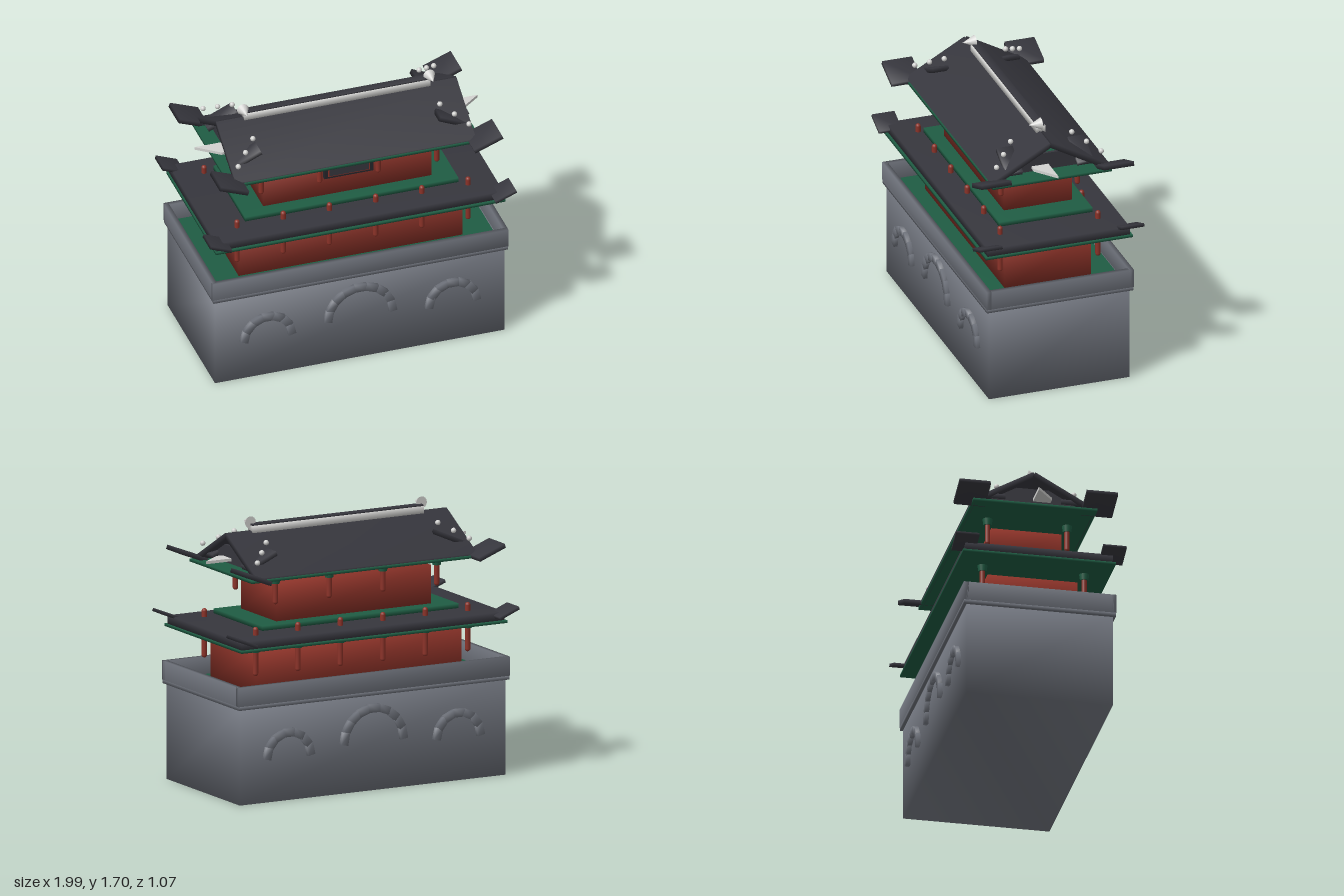
import * as THREE from 'three';
import { mergeVertices } from 'three/addons/utils/BufferGeometryUtils.js';

const mat = (name, color) => Object.assign(new THREE.MeshStandardMaterial({ color }), { name });

export function createModel() {
  const model = new THREE.Group();
  model.name = 'gatehouse';
  const stone = mat('stone grey', 0x70747d);
  const red = mat('wall red', 0x8b3228);
  const green = mat('painted green', 0x1f5c43);
  const tile = mat('roof tile', 0x36363d);
  const white = mat('plaster white', 0xd2d2d0);
  const ink = mat('plaque dark', 0x26262b);

  const add = (name, geo, material, x, y, z, parent = model) => {
    const m = new THREE.Mesh(geo, material);
    m.name = name;
    m.position.set(x, y, z);
    parent.add(m);
    return m;
  };
  const group = (name) => {
    const g = new THREE.Group();
    g.name = name;
    model.add(g);
    return g;
  };
  // Box with normals shared across its corners, for soft shading
  const softBox = (w, h, d) => {
    const g = new THREE.BoxGeometry(w, h, d);
    g.deleteAttribute('normal');
    g.deleteAttribute('uv');
    const s = mergeVertices(g);
    s.computeVertexNormals();
    return s;
  };
  // Box centred on the axis, given by half sizes and its height range
  const slab = (name, material, hx, y0, y1, hz) =>
    add(name, softBox(hx * 2, y1 - y0, hz * 2), material, 0, (y0 + y1) / 2, 0);
  const corners = (fn) => {
    for (const sx of [-1, 1]) for (const sz of [-1, 1]) fn(sx, sz);
  };

  // Stone base, cornice, terrace floor and parapet
  slab('base', stone, 0.94, 0, 0.605, 0.46);
  slab('cornice', stone, 0.955, 0.6, 0.626, 0.478);
  slab('terraceFloor', green, 0.92, 0.62, 0.636, 0.44);
  const parapet = group('parapet');
  for (const s of [-1, 1]) {
    add('parapetLong', softBox(1.92, 0.12, 0.03), stone, 0, 0.684, s * 0.465, parapet);
    add('parapetShort', softBox(0.03, 0.12, 0.93), stone, s * 0.945, 0.684, 0, parapet);
  }

  // Three arches of stone blocks on the front and the back
  const arches = group('arches');
  const arch = (x, y, radius, n, z) => {
    const block = softBox(0.05, (Math.PI * radius / n) * 1.1, 0.05);
    for (let i = 0; i < n; i++) {
      const a = ((i + 0.5) / n) * Math.PI;
      add('archBlock', block, stone, x + Math.cos(a) * radius, y + Math.sin(a) * radius, z, arches)
        .rotation.z = a;
    }
  };
  for (const z of [-0.46, 0.46]) {
    arch(0, 0.31, 0.208, 9, z);
    for (const x of [-0.6, 0.6]) arch(x, 0.275, 0.152, 7, z);
  }

  // Front and back rows of round-ended columns with green brackets
  const columnRow = (name, xs, z, y0, y1, bracketY) => {
    const g = group(name);
    const r = 0.017;
    const shaft = new THREE.CapsuleGeometry(r, y1 - y0 - 2 * r, 4, 12);
    const bracket = new THREE.CylinderGeometry(0.032, 0.026, 0.04, 12);
    for (const x of xs) for (const s of [-1, 1]) {
      add('column', shaft, red, x, (y0 + y1) / 2, s * z, g);
      add('bracket', bracket, green, x, bracketY, s * z, g);
    }
  };

  // Upturned eave corners
  const eaveCorners = (name, x, y, z, size, thick, tilt) => {
    const g = group(name);
    corners((sx, sz) => {
      add('eaveCorner', softBox(size, thick, size), tile, sx * x, y, sz * z, g).rotation.z = sx * tilt;
    });
  };

  // Lower storey
  slab('lowerWalls', red, 0.727, 0.63, 0.915, 0.283);
  columnRow('lowerColumns', [-0.75, -0.45, -0.15, 0.15, 0.45, 0.75], 0.32, 0.77, 1.08, 0.94);
  slab('lowerEaveBoard', green, 0.94, 0.958, 0.975, 0.48);
  slab('lowerRoof', tile, 0.93, 0.97, 1.027, 0.465);
  eaveCorners('lowerEaveCorners', 0.925, 1.03, 0.463, 0.147, 0.02, 0.38);

  // Upper storey
  slab('upperFloor', green, 0.693, 1.045, 1.075, 0.305);
  slab('upperWalls', red, 0.547, 1.07, 1.317, 0.222);
  columnRow('upperColumns', [-0.57, -0.19, 0.19, 0.57], 0.25, 1.19, 1.36, 1.342);
  slab('upperEaveBoard', green, 0.815, 1.368, 1.386, 0.39);

  // Name plaque without lettering
  const plaque = group('plaque');
  add('plaqueFrame', new THREE.BoxGeometry(0.32, 0.115, 0.03), ink, 0, 1.267, 0.235, plaque);
  add('plaqueBorder', new THREE.BoxGeometry(0.27, 0.088, 0.004), red, 0, 1.267, 0.252, plaque);
  add('plaquePanel', new THREE.BoxGeometry(0.256, 0.076, 0.004), tile, 0, 1.267, 0.255, plaque);

  // Pitched upper roof: two slopes and a gable panel at each end
  const pitch = Math.atan2(0.21, 0.375);
  for (const s of [-1, 1]) {
    add('roofSlope', softBox(1.56, 0.035, 0.44), tile, 0, 1.49, s * 0.19).rotation.x = s * pitch;
  }
  const gable = new THREE.ExtrudeGeometry(new THREE.Shape([
    new THREE.Vector2(-0.29, 1.41), new THREE.Vector2(0.29, 1.41),
    new THREE.Vector2(0.14, 1.52), new THREE.Vector2(-0.14, 1.52),
  ]), { depth: 0.02, bevelEnabled: false });
  gable.translate(0, 0, -0.01);
  for (const s of [-1, 1]) add('gable', gable, tile, s * 0.72, 0, 0).rotation.y = Math.PI / 2;
  eaveCorners('upperEaveCorners', 0.825, 1.415, 0.4, 0.195, 0.028, 0.37);

  // Hip pieces and rows of small roof finials
  const hips = group('hips');
  const bead = new THREE.SphereGeometry(0.017, 12, 8);
  corners((sx, sz) => {
    add('hip', softBox(0.21, 0.03, 0.105), tile, sx * 0.675, 1.475, sz * 0.232, hips).rotation.z = -sx * 0.42;
    for (let i = 0; i < 3; i++) {
      add('roofFinial', bead, white, sx * (0.607 + i * 0.071), 1.573 - i * 0.044, sz * (0.2 + i * 0.071), hips);
    }
  });

  // Ridge beam with its cap and pointed end ornaments
  slab('ridge', white, 0.605, 1.6, 1.645, 0.03);
  slab('ridgeCap', tile, 0.605, 1.643, 1.655, 0.024);
  const cone = new THREE.ConeGeometry(0.038, 0.08, 16);
  cone.rotateX(Math.PI / 2);
  const fin = (s) => {
    const pts = [[0.74, 0], [0.92, 0], [0.78, 0.11], [0.74, 0.11]].map(([x, z]) => new THREE.Vector2(s * x, z));
    const g = new THREE.ExtrudeGeometry(new THREE.Shape(pts), { depth: 0.018, bevelEnabled: false });
    return g.rotateX(Math.PI / 2);
  };
  for (const s of [-1, 1]) {
    add('ridgeOrnament', cone, white, s * 0.605, 1.663, 0.04);
    add('gableFin', fin(s), white, 0, 1.45, 0);
  }
  return model;
}
